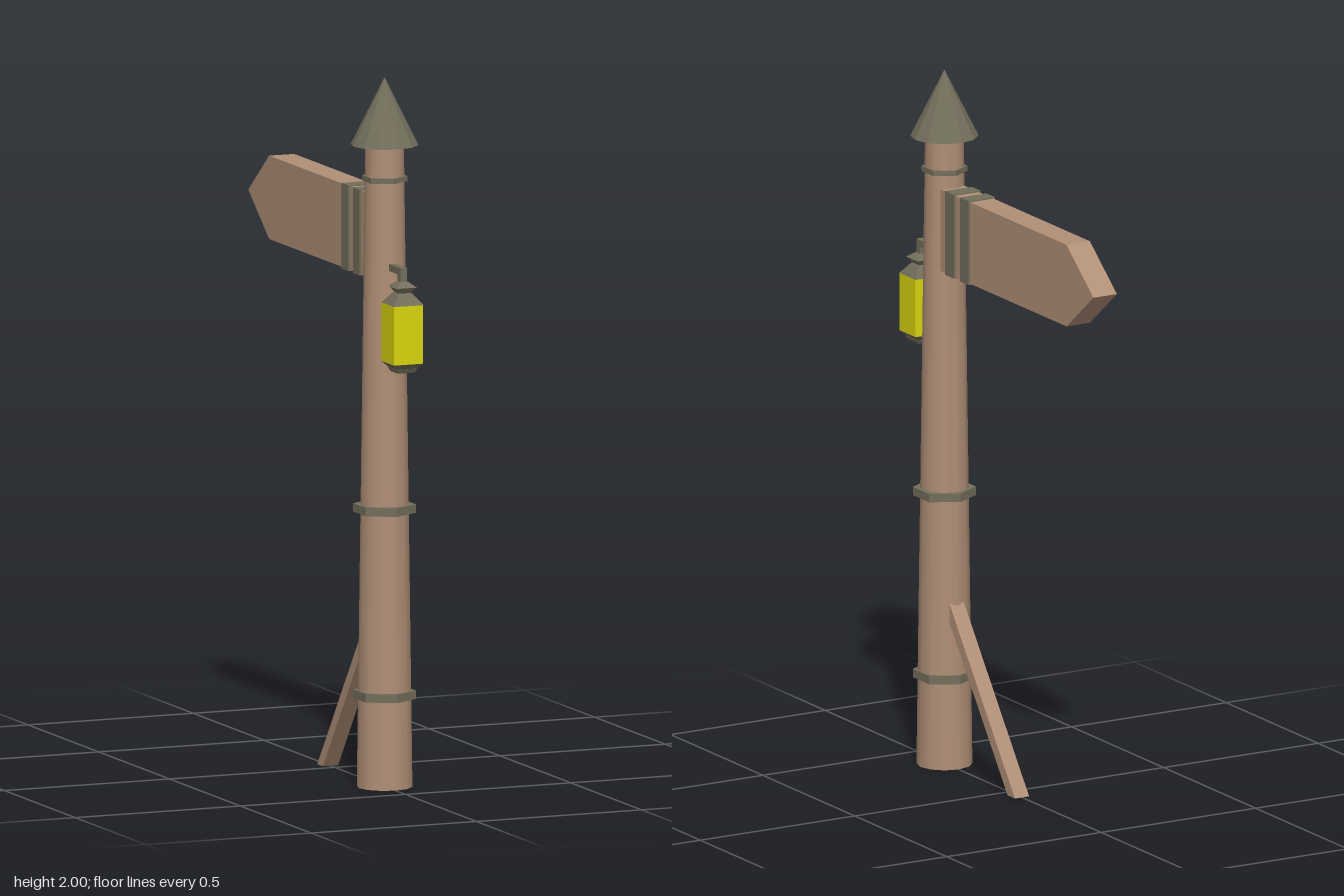
import * as THREE from 'three';

const mat = (name, color) => {
  const m = new THREE.MeshStandardMaterial({ color });
  m.name = name;
  return m;
};

export function createModel() {
  const wood = mat('wood', 0xb08f76);
  const metal = mat('dark metal', 0x736e5b);
  const glass = mat('yellow glass', 0xd8d40e);
  const root = new THREE.Group();
  root.name = 'signpost';
  const POST_Z = 0.352, LAMP_Z = 0.478;

  const add = (name, geo, material, x, y, z, parent = root) => {
    const mesh = new THREE.Mesh(geo, material);
    mesh.name = name;
    mesh.position.set(x, y, z);
    parent.add(mesh);
    return mesh;
  };
  const flat = (geo) => {
    const g = geo.toNonIndexed();
    g.computeVertexNormals();
    return g;
  };
  // Extrudes a side outline of [z, y] points across x, centred on x = 0
  const sideExtrude = (points, width) => {
    const shape = new THREE.Shape(points.map(([z, y]) => new THREE.Vector2(-z, y)));
    const geo = new THREE.ExtrudeGeometry(shape, { depth: width, bevelEnabled: false });
    geo.translate(0, 0, -width / 2);
    geo.rotateY(Math.PI / 2);
    return geo;
  };

  // Tapered post and pointed cap
  add('post', new THREE.CylinderGeometry(0.054, 0.078, 1.82, 12), wood, 0, 0.91, POST_Z);
  add('cap', flat(new THREE.ConeGeometry(0.095, 0.19, 12)), metal, 0, 1.905, POST_Z);

  // Six-sided collars
  for (const [y, r, h] of [[0.26, 0.088, 0.024], [0.785, 0.088, 0.024], [1.715, 0.064, 0.015]]) {
    add('collar', flat(new THREE.CylinderGeometry(r, r, h, 6)), metal, 0, y, POST_Z);
  }

  // Pointed sign board with two straps
  add('signBoard', sideExtrude(
    [[0.31, 1.435], [-0.375, 1.435], [-0.522, 1.552], [-0.375, 1.67], [0.31, 1.67]], 0.076),
  wood, 0, 0, 0);
  for (const z of [0.252, 0.172]) {
    add('signStrap', new THREE.BoxGeometry(0.086, 0.242, 0.047), metal, 0, 1.5525, z);
  }

  // Diagonal brace, cut level with the ground
  add('brace', sideExtrude([[0.31, 0.456], [-0.03, 0], [-0.07, 0], [0.31, 0.51]], 0.046),
    wood, 0, 0, 0);

  // Hanging lantern
  const lantern = new THREE.Group();
  lantern.name = 'lantern';
  lantern.position.z = LAMP_Z;
  root.add(lantern);
  add('arm', new THREE.BoxGeometry(0.02, 0.02, 0.11), metal, 0, 1.472, -0.045, lantern);
  add('hanger', new THREE.BoxGeometry(0.02, 0.05, 0.02), metal, 0, 1.457, 0, lantern);
  add('glassBody', new THREE.BoxGeometry(0.088, 0.165, 0.088), glass, 0, 1.2975, 0, lantern);

  // Square tapered pieces: bottom y, top y, bottom half width, top half width
  const tiers = [
    ['roof', 1.38, 1.412, 0.045, 0.02],
    ['neck', 1.412, 1.428, 0.017, 0.028],
    ['finial', 1.428, 1.443, 0.031, 0.012],
    ['basePlate', 1.2, 1.215, 0.03, 0.045],
    ['foot', 1.188, 1.2, 0.025, 0.032],
  ];
  for (const [name, y0, y1, b, t] of tiers) {
    const geo = new THREE.CylinderGeometry(t * Math.SQRT2, b * Math.SQRT2, y1 - y0, 4);
    geo.rotateY(Math.PI / 4);
    add(name, flat(geo), metal, 0, (y0 + y1) / 2, 0, lantern);
  }
  return root;
}
